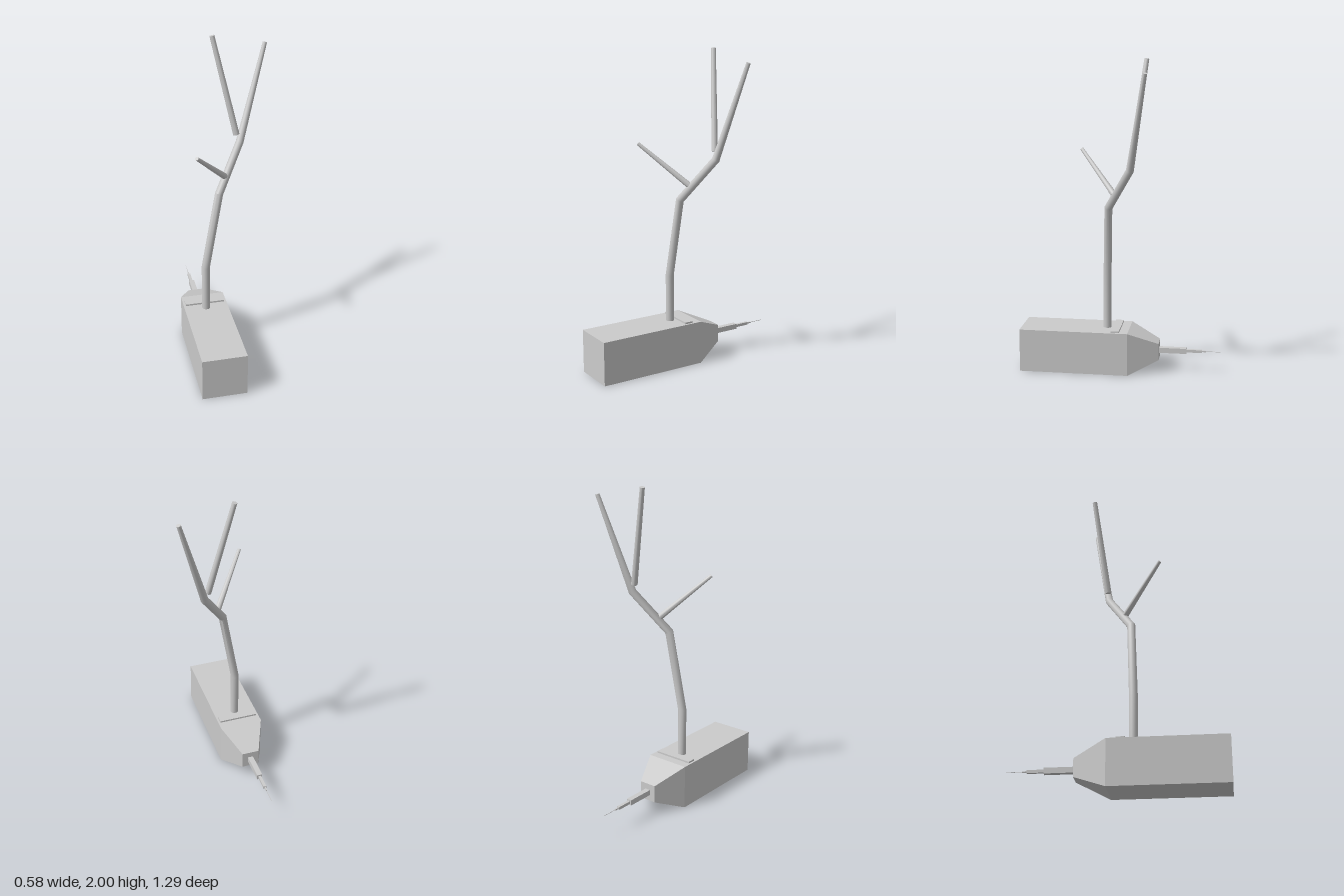
import * as THREE from 'three';
import { toCreasedNormals } from 'three/addons/utils/BufferGeometryUtils.js';

const CX = -0.154, CY = 0.14; // long axis of the body

export function createModel() {
  const model = new THREE.Group();
  const grey = new THREE.MeshStandardMaterial({ color: 0xcccccc });

  const add = (name, geometry) => {
    const mesh = new THREE.Mesh(geometry, grey);
    mesh.name = name;
    model.add(mesh);
    return mesh;
  };

  // Square prism or frustum along the body axis, from z0 back to z1
  const prism = (name, half0, half1, z0, z1) => {
    const g = new THREE.CylinderGeometry(half1 * Math.SQRT2, half0 * Math.SQRT2, z0 - z1, 4);
    g.rotateY(Math.PI / 4).rotateX(-Math.PI / 2);
    add(name, toCreasedNormals(g, 0.2)).position.set(CX, CY, (z0 + z1) / 2);
  };

  // Tapered limb through points, with mitred joints: each entry is [x, y, z, radius]
  const limb = (name, nodes, sides = 16) => {
    const pts = nodes.map(([x, y, z]) => new THREE.Vector3(x, y, z));
    const dirs = pts.slice(1).map((p, i) => p.clone().sub(pts[i]).normalize());
    const side = new THREE.Vector3(1, 0, 0).cross(dirs[0]).normalize();
    const pos = [], index = [];
    pts.forEach((p, i) => {
      const din = dirs[Math.max(i - 1, 0)], dout = dirs[Math.min(i, dirs.length - 1)];
      const n = din.clone().add(dout).normalize();
      for (let j = 0; j < sides; j++) {
        const o = side.clone().applyAxisAngle(din, (j / sides) * Math.PI * 2).multiplyScalar(nodes[i][3]);
        o.addScaledVector(din, -o.dot(n) / din.dot(n));
        pos.push(p.x + o.x, p.y + o.y, p.z + o.z);
        if (i > 0) {
          const a = (i - 1) * sides + j, b = (i - 1) * sides + (j + 1) % sides;
          index.push(a, b, b + sides, a, b + sides, a + sides);
        }
      }
      side.applyQuaternion(new THREE.Quaternion().setFromUnitVectors(din, dout));
    });
    // End caps
    const last = (pts.length - 1) * sides;
    for (let j = 1; j < sides - 1; j++) index.push(0, j + 1, j, last, last + j, last + j + 1);
    const g = new THREE.BufferGeometry();
    g.setAttribute('position', new THREE.Float32BufferAttribute(pos, 3));
    g.setIndex(index);
    add(name, toCreasedNormals(g, 0.55));
  };

  // Body, tapered nose and stepped needle
  prism('body', 0.139, 0.139, 0.643, -0.055);
  prism('nose', 0.139, 0.055, -0.055, -0.248);
  prism('needleBase', 0.017, 0.017, -0.248, -0.424);
  prism('needleMiddle', 0.009, 0.009, -0.424, -0.523);
  prism('needleTip', 0.004, 0.004, -0.523, -0.55);
  prism('needlePoint', 0.0012, 0.0012, -0.55, -0.643);

  // Raised strip on top of the body
  add('topStrip', new THREE.BoxGeometry(0.252, 0.012, 0.052)).position.set(CX, 0.284, 0.026);

  // Bent trunk and its branches
  limb('trunk', [
    [-0.155, 0.278, 0.09, 0.026],
    [-0.155, 0.58, 0.09, 0.026],
    [-0.063, 1.08, 0.07, 0.025],
    [0.1, 1.34, -0.085, 0.024],
    [0.276, 1.927, -0.192, 0.013],
  ]);
  limb('upperBranch', [[0.08, 1.39, -0.09, 0.02], [-0.051, 1.998, -0.167, 0.015]]);
  limb('lowerBranch', [[-0.02, 1.175, 0.03, 0.019], [-0.234, 1.425, 0.264, 0.011]]);

  return model;
}
